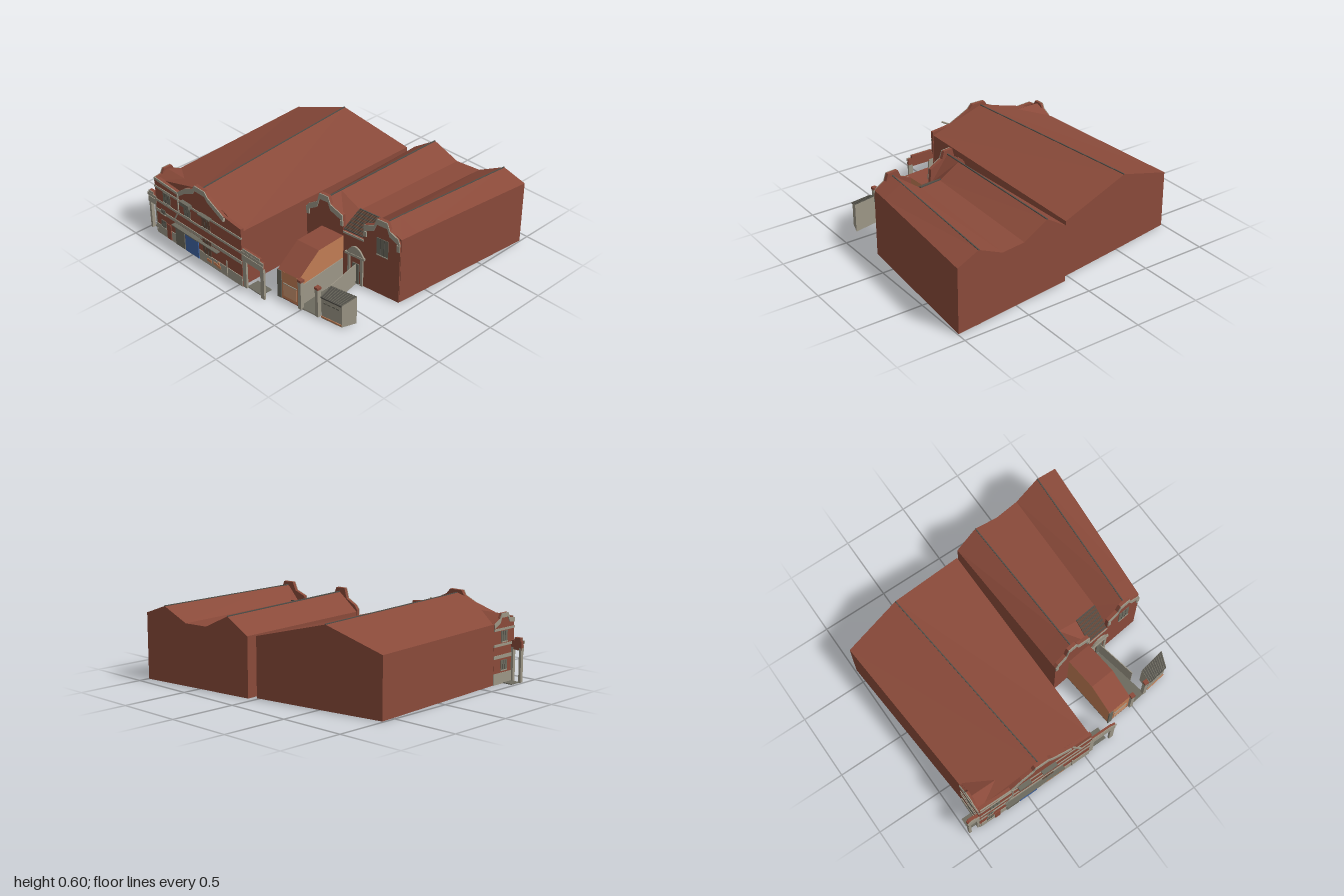
import * as THREE from 'three';

const mat = (name, color) => Object.assign(new THREE.MeshStandardMaterial({ color, side: THREE.DoubleSide }), { name });
const M = {
  brick: mat('brick', 0x8a4a3a), stone: mat('pale stone', 0x9c9686), shade: mat('grey panel', 0x6c6a5e),
  tan: mat('tan render', 0xc07c54), paleTan: mat('pale tan', 0xcb9470), blue: mat('blue door', 0x3f63a3),
  dark: mat('dark base', 0x504e48), brown: mat('brown boards', 0x66493a),
};

function add(parent, name, geo, m) {
  const mesh = new THREE.Mesh(geo, m);
  mesh.name = name;
  parent.add(mesh);
  return mesh;
}

// box given by its x, y and z limits
function block(parent, name, m, x0, x1, y0, y1, z0, z1) {
  const b = add(parent, name, new THREE.BoxGeometry(x1 - x0, y1 - y0, z1 - z0), m);
  b.position.set((x0 + x1) / 2, (y0 + y1) / 2, (z0 + z1) / 2);
}

// square bar between two points of the parent's space
function beam(parent, name, m, a, b, w, h) {
  const p = new THREE.Vector3(...a), q = new THREE.Vector3(...b);
  const bar = add(parent, name, new THREE.BoxGeometry(w, h, p.distanceTo(q)), m);
  bar.quaternion.setFromRotationMatrix(new THREE.Matrix4().lookAt(q, p, bar.up));
  bar.position.copy(p).add(q).multiplyScalar(0.5);
}

// outline in x and y, extruded between two depths
function slab(parent, name, m, pts, z0, z1) {
  const geo = new THREE.ExtrudeGeometry(new THREE.Shape(pts.map(p => new THREE.Vector2(...p))),
    { depth: z1 - z0, bevelEnabled: false });
  add(parent, name, geo, m).position.z = z0;
}

// thin stone facing that follows the top of a wall
function coping(parent, pts, h, z) {
  const down = pts.map(([x, y]) => [x, y - h]).reverse();
  slab(parent, 'coping', M.stone, [...pts, ...down], z, z + 0.007);
}

// solid between a back and a front roof line, each going from left to right, standing on the ground
function hall(parent, name, back, front, m, roofMat = m) {
  const walls = [], roof = [], base = [];
  const quad = (list, a, b, c, d) => list.push(...a, ...b, ...c, ...a, ...c, ...d);
  const g = p => [p[0], 0, p[2]];
  const n = back.length - 1;
  for (let i = 0; i < n; i++) {
    const [a, b, c, d] = [back[i], front[i], front[i + 1], back[i + 1]];
    quad(roof, a, b, c, d);
    quad(walls, g(b), g(c), c, b);
    quad(walls, g(d), g(a), a, d);
    quad(base, g(a), g(d), g(c), g(b));
  }
  quad(walls, g(back[0]), g(front[0]), front[0], back[0]);
  quad(walls, g(front[n]), g(back[n]), back[n], front[n]);
  [['Walls', walls, m], ['Roof', roof, roofMat], ['Base', base, M.dark]].forEach(([part, list, material]) => {
    const geo = new THREE.BufferGeometry();
    geo.setAttribute('position', new THREE.Float32BufferAttribute(list, 3));
    geo.computeVertexNormals();
    add(parent, name + part, geo, material);
  });
}

// window with sill and glazing bars, set on a wall face at depth z
function win(parent, x0, x1, y0, y1, z, pane = M.shade) {
  block(parent, 'windowPane', pane, x0, x1, y0, y1, z, z + 0.004);
  block(parent, 'windowSill', M.stone, x0, x1, y0 - 0.007, y0, z, z + 0.008);
  for (const t of [1 / 3, 2 / 3]) {
    const x = x0 + (x1 - x0) * t;
    block(parent, 'windowBar', M.dark, x - 0.0015, x + 0.0015, y0, y1, z, z + 0.006);
  }
}

// gateway with two posts and a brick head faced in stone
function gateway(parent, x0, x1, post, z0, z1) {
  for (const x of [x0, x1 - post]) block(parent, 'gatePost', M.stone, x, x + post, 0, 0.25, z0, z1);
  block(parent, 'gateLintel', M.brick, x0, x1, 0.235, 0.3, z0, z1);
  block(parent, 'gateCap', M.brick, x0 + 0.01, x1 - 0.03, 0.3, 0.322, z0, z1);
  block(parent, 'gateFacing', M.stone, x0, x1, 0.225, 0.272, z1, z1 + 0.005);
  block(parent, 'gateCornice', M.stone, x0 - 0.005, x1 + 0.005, 0.28, 0.302, z1, z1 + 0.007);
  block(parent, 'gateCapFacing', M.stone, x0 + 0.01, x1 - 0.03, 0.302, 0.322, z1, z1 + 0.005);
}

function leftHall(root) {
  const g = new THREE.Group();
  g.name = 'leftHall';
  root.add(g);
  hall(g, 'leftHall', [[-0.99, 0.43, -0.605], [-0.55, 0.575, -0.675], [0.02, 0.43, -0.76]],
    [[-0.885, 0.44, 0.845], [-0.4, 0.58, 0.845], [0.028, 0.44, 0.845]], M.brick);
  beam(g, 'ridgeCap', M.dark, [-0.55, 0.575, -0.675], [-0.4, 0.58, 0.84], 0.008, 0.008);

  // street front
  const top = [[-0.89, 0.47], [-0.64, 0.455], [-0.61, 0.48], [-0.55, 0.525], [-0.46, 0.565], [-0.44, 0.6], [-0.33, 0.6],
    [-0.3, 0.565], [-0.22, 0.525], [-0.14, 0.487], [0.033, 0.467]];
  slab(g, 'streetFront', M.brick, [[-0.89, 0], ...top, [0.033, 0]].reverse(), 0.842, 0.868);
  coping(g, top.slice(1, 10), 0.04, 0.868);
  coping(g, top.slice(0, 2), 0.02, 0.868);
  block(g, 'plinth', M.stone, -0.89, 0.033, 0, 0.08, 0.86, 0.873);
  for (const [a, b] of [[0.185, 0.21], [0.272, 0.29], [0.385, 0.402]])
    block(g, 'stoneBand', M.stone, -0.89, 0.033, a, b, 0.86, 0.873);
  win(g, -0.81, -0.73, 0.302, 0.38, 0.868);
  win(g, -0.57, -0.5, 0.305, 0.41, 0.873);
  win(g, -0.375, -0.285, 0.305, 0.4, 0.873, M.brown);
  win(g, -0.375, -0.285, 0.085, 0.205, 0.873, M.brown);
  win(g, -0.84, -0.79, 0.195, 0.23, 0.873);
  win(g, -0.845, -0.79, 0.08, 0.135, 0.873);
  block(g, 'sideDoor', M.brick, -0.78, -0.735, 0.005, 0.13, 0.873, 0.879);
  block(g, 'greyDoor', M.shade, -0.68, -0.58, 0.005, 0.17, 0.873, 0.88);
  block(g, 'blueDoor', M.blue, -0.57, -0.425, 0.005, 0.17, 0.873, 0.88);
  block(g, 'doorCanopy', M.shade, -0.69, -0.41, 0.17, 0.178, 0.868, 0.905);
  block(g, 'windowCanopy', M.shade, -0.41, -0.2, 0.168, 0.174, 0.868, 0.9);
  block(g, 'windowHood', M.shade, -0.585, -0.485, 0.39, 0.42, 0.868, 0.9);
  block(g, 'windowHood', M.shade, -0.39, -0.27, 0.4, 0.41, 0.868, 0.9);
  for (const [x, w, y] of [[-0.34, 0.05, 0.03], [-0.27, 0.04, 0.035], [-0.23, 0.04, 0.03], [-0.22, 0.02, 0.055]])
    block(g, 'renderPatch', M.tan, x, x + w, y, y + 0.022, 0.873, 0.877);
  beam(g, 'drainPipe', M.stone, [-0.63, 0.45, 0.877], [-0.63, 0.3, 0.877], 0.008, 0.008);
  beam(g, 'drainPipe', M.stone, [-0.63, 0.3, 0.877], [-0.69, 0.2, 0.877], 0.008, 0.008);
  beam(g, 'drainPipe', M.stone, [-0.12, 0.14, 0.877], [-0.12, 0.02, 0.877], 0.007, 0.007);
  beam(g, 'lampArm', M.stone, [-0.13, 0.48, 0.87], [-0.09, 0.495, 0.91], 0.012, 0.01);

  // side gable with its small cross roof; local x runs along world z
  const s = new THREE.Group();
  s.name = 'sideGable';
  s.position.x = -0.893;
  s.rotation.y = -Math.PI / 2;
  g.add(s);
  slab(s, 'crossRoof', M.brick, [[0.64, 0.4], [0.85, 0.4], [0.85, 0.45], [0.76, 0.497], [0.64, 0.445]], -0.33, -0.005);
  const side = [[0.64, 0.44], [0.7, 0.47], [0.72, 0.508], [0.79, 0.508], [0.81, 0.47], [0.868, 0.46]];
  slab(s, 'sideWall', M.brick, [[0.64, 0], ...side, [0.868, 0]].reverse(), -0.01, 0.008);
  coping(s, side, 0.032, 0.008);
  for (const [a, b] of [[0, 0.08], [0.185, 0.21], [0.272, 0.29], [0.385, 0.402]])
    block(s, 'sideBand', M.stone, 0.64, 0.872, a, b, 0, 0.013);
  win(s, 0.72, 0.79, 0.305, 0.38, 0.008);
  win(s, 0.72, 0.79, 0.1, 0.17, 0.008);

  // gateways at both ends
  gateway(g, -0.99, -0.9, 0.02, 0.84, 0.865);
  gateway(g, 0.035, 0.25, 0.035, 0.85, 0.866);
  block(g, 'gateFloor', M.shade, 0.06, 0.2, 0, 0.006, 0.755, 0.85);
  block(g, 'gateFloor', M.shade, -0.98, -0.9, 0, 0.006, 0.75, 0.84);
}

function rightHall(root) {
  const g = new THREE.Group();
  g.name = 'rightHall';
  root.add(g);
  const mid = [[0.103, 0.44, 0.17], [0.26, 0.57, 0.155], [0.43, 0.48, 0.14], [0.6, 0.48, 0.12], [0.765, 0.575, 0.1], [0.912, 0.505, 0.085]];
  hall(g, 'mainHall', [[0.055, 0.43, -0.808], [0.23, 0.545, -0.83], [0.43, 0.45, -0.852], [0.62, 0.45, -0.875],
    [0.82, 0.55, -0.9], [0.995, 0.485, -0.92]], mid, M.brick);
  hall(g, 'frontBay', mid, [[0.11, 0.44, 0.325], [0.265, 0.575, 0.306], [0.43, 0.385, 0.287], [0.6, 0.385, 0.267],
    [0.755, 0.575, 0.247], [0.9, 0.505, 0.23]], M.brick);
  beam(g, 'ridgeCap', M.dark, [0.23, 0.545, -0.83], [0.265, 0.576, 0.3], 0.008, 0.008);
  beam(g, 'ridgeCap', M.dark, [0.82, 0.55, -0.9], [0.755, 0.576, 0.24], 0.008, 0.008);

  // slatted slope in the valley between the gables
  for (let i = 0; i <= 18; i++) {
    const t = i / 18, y = 0.487 - 0.09 * t, z = 0.14 + 0.147 * t;
    beam(g, 'valleySlat', i % 3 ? M.brown : M.dark, [0.425, y, z], [0.6, y, z - 0.02], 0.01, 0.008);
  }

  // twin gabled front, slightly turned
  const f = new THREE.Group();
  f.name = 'gabledFront';
  f.position.z = 0.348;
  f.rotation.y = 0.12;
  g.add(f);
  const left = [[0.11, 0.455], [0.13, 0.485], [0.205, 0.53], [0.225, 0.604], [0.3, 0.604], [0.32, 0.55], [0.425, 0.505]];
  const right = [[0.605, 0.505], [0.69, 0.54], [0.715, 0.6], [0.8, 0.6], [0.82, 0.545], [0.89, 0.51], [0.905, 0.475]];
  slab(f, 'frontWall', M.brick, [[0.11, 0], ...left, [0.43, 0.385], [0.6, 0.385], ...right, [0.905, 0]].reverse(), -0.025, 0);
  for (const line of [left, right]) coping(f, line, 0.045, 0);
  for (const [x, y] of [[0.11, 0.4], [0.405, 0.42], [0.605, 0.42], [0.88, 0.41]])
    block(f, 'gableShoulder', M.stone, x, x + 0.025, y, 0.46, 0, 0.008);
  block(f, 'valleyBand', M.stone, 0.43, 0.605, 0.37, 0.385, 0, 0.006);
  win(f, 0.715, 0.81, 0.325, 0.455, 0.001);

  // arched doorway at the end of the lane
  const arch = new THREE.Shape();
  arch.moveTo(0.465, 0.235);
  arch.quadraticCurveTo(0.54, 0.37, 0.615, 0.235);
  add(f, 'doorPediment', new THREE.ExtrudeGeometry(arch, { depth: 0.012, bevelEnabled: false, curveSegments: 8 }), M.stone);
  block(f, 'doorEntablature', M.stone, 0.455, 0.62, 0.22, 0.238, 0, 0.016);
  for (const x of [0.475, 0.585]) block(f, 'doorColumn', M.stone, x, x + 0.02, 0, 0.22, 0, 0.012);
  block(f, 'entranceDoor', M.shade, 0.515, 0.57, 0, 0.165, 0, 0.008);
}

function yard(root) {
  // tan annex; local x runs from the street back to the hall
  const a = new THREE.Group();
  a.name = 'annex';
  a.position.x = 0.402;
  a.rotation.y = Math.PI / 2 + 0.09;
  root.add(a);
  slab(a, 'annexBody', [M.tan, M.brick], [[-0.75, 0], [-0.3, 0], [-0.3, 0.345], [-0.55, 0.355], [-0.75, 0.225]], -0.19, 0);
  block(a, 'annexLowerWall', M.stone, -0.74, -0.31, 0.005, 0.165, 0, 0.006);
  block(a, 'annexFloor', M.dark, -0.75, -0.3, -0.001, 0.002, -0.191, 0.001);
  const f = new THREE.Group();
  f.name = 'annexFront';
  f.position.set(0.373, 0, 0.756);
  f.rotation.y = 0.09;
  root.add(f);
  block(f, 'annexFrontWall', M.tan, -0.095, 0.095, 0.005, 0.225, -0.006, 0);
  block(f, 'annexPier', M.shade, -0.098, -0.06, 0, 0.225, -0.004, 0.005);
  block(f, 'annexShutter', M.paleTan, -0.045, 0.07, 0.03, 0.13, 0, 0.004);
  block(f, 'annexSign', M.stone, -0.045, 0.075, 0.13, 0.136, 0, 0.006);

  // paved lane with a low wall and gate piers
  hall(root, 'lane', [[0.445, 0.01, 0.31], [0.545, 0.01, 0.295]], [[0.478, 0.01, 0.755], [0.625, 0.01, 0.735]], M.stone, M.shade);
  beam(root, 'laneWall', M.stone, [0.545, 0.082, 0.295], [0.605, 0.082, 0.6], 0.006, 0.165);
  for (const [x, z] of [[0.488, 0.75], [0.625, 0.725]]) {
    block(root, 'lanePier', M.stone, x - 0.014, x + 0.014, 0, 0.22, z - 0.014, z + 0.014);
    block(root, 'pierCap', M.brick, x - 0.017, x + 0.017, 0.22, 0.238, z - 0.017, z + 0.017);
  }

  // kiosk with a dark ribbed lean-to roof
  hall(root, 'kiosk', [[0.66, 0.218, 0.635], [0.86, 0.218, 0.597]], [[0.66, 0.178, 0.725], [0.825, 0.178, 0.7]], M.stone, M.dark);
  for (let i = 0; i <= 10; i++) {
    const t = i / 10;
    beam(root, 'roofRib', M.shade, [0.66 + 0.2 * t, 0.219, 0.635 - 0.038 * t], [0.66 + 0.165 * t, 0.178, 0.73 - 0.025 * t], 0.005, 0.004);
  }
  const k = new THREE.Group();
  k.name = 'kioskFront';
  k.position.set(0.66, 0, 0.726);
  k.rotation.y = 0.15;
  root.add(k);
  block(k, 'kioskSill', M.tan, 0, 0.165, 0.01, 0.022, 0, 0.005);
  block(k, 'kioskEave', M.dark, 0, 0.167, 0.17, 0.18, 0, 0.008);
  for (let i = 0; i < 4; i++) {
    const x = 0.02 + i * 0.035;
    block(k, 'kioskWindowFrame', M.shade, x, x + 0.024, 0.13, 0.142, 0, 0.004);
  }
}

export function createModel() {
  const root = new THREE.Group();
  root.name = 'brickHalls';
  leftHall(root);
  rightHall(root);
  yard(root);
  return root;
}
